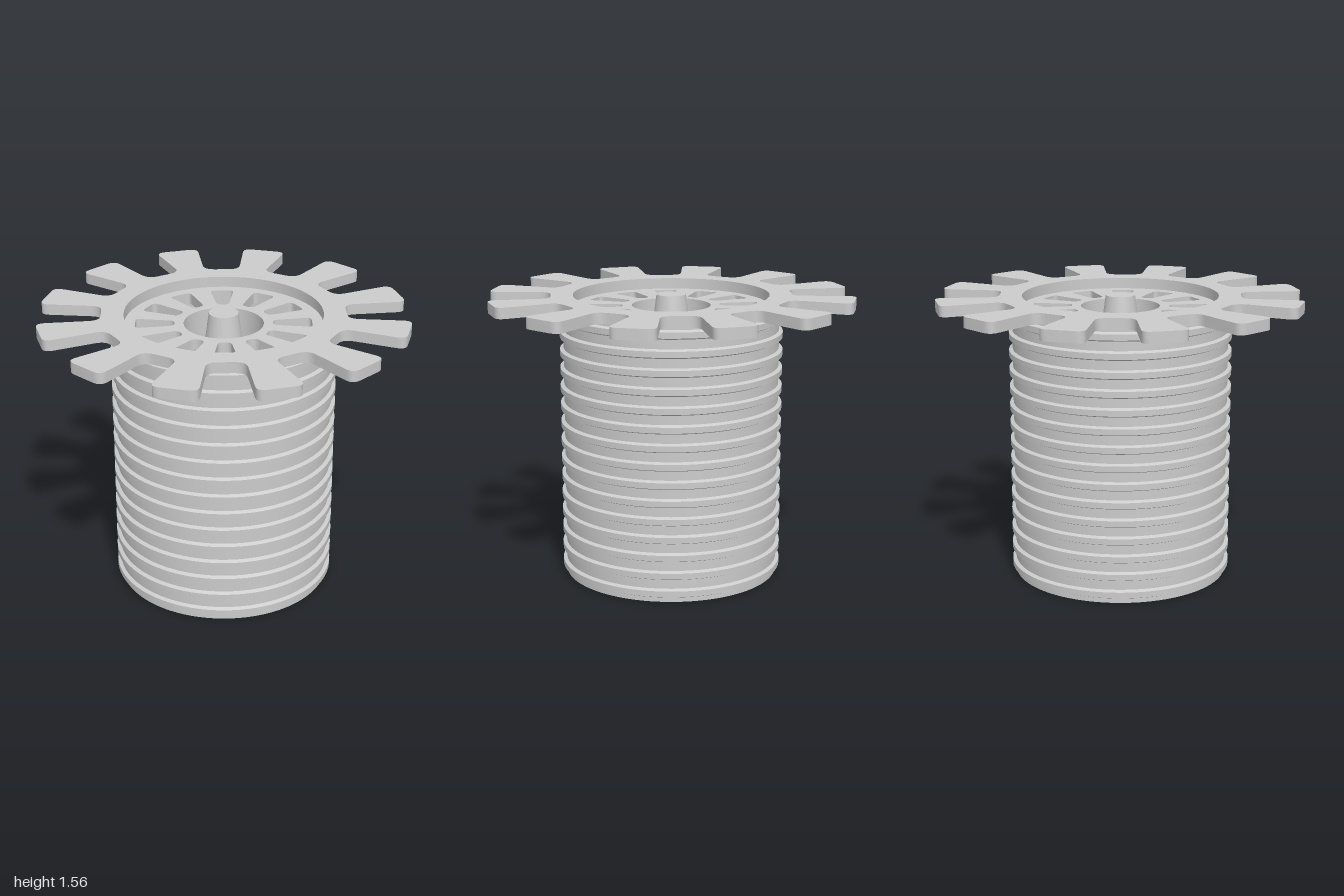
import * as THREE from 'three';
import { toCreasedNormals } from 'three/addons/utils/BufferGeometryUtils.js';

const SEGMENTS = 96;
const TEETH = 12;
const material = new THREE.MeshStandardMaterial({ color: 0xcccccc });

function addMesh(group, name, geometry) {
  const mesh = new THREE.Mesh(toCreasedNormals(geometry, 0.45), material);
  mesh.name = name;
  group.add(mesh);
  return mesh;
}

const vec = (x, y) => new THREE.Vector2(x, y);

function circle(radius) {
  return Array.from({ length: SEGMENTS }, (_, i) => {
    const a = (i / SEGMENTS) * Math.PI * 2;
    return vec(radius * Math.cos(a), radius * Math.sin(a));
  });
}

// Replaces each corner of a closed polygon [point, radius] with a small curve
function roundCorners(corners, steps = 7) {
  const out = [];
  const n = corners.length;
  corners.forEach(([p, r], i) => {
    const prev = corners[(i + n - 1) % n][0];
    const next = corners[(i + 1) % n][0];
    const a = p.clone().add(prev.clone().sub(p).setLength(r));
    const b = p.clone().add(next.clone().sub(p).setLength(r));
    out.push(...new THREE.QuadraticBezierCurve(a, p, b).getPoints(steps));
  });
  return out;
}

// Horizontal plate between two heights
function plate(outline, holes, bottom, top) {
  const shape = new THREE.Shape(outline);
  shape.holes = holes.map((h) => new THREE.Path(h));
  return new THREE.ExtrudeGeometry(shape, { depth: top - bottom, bevelEnabled: false })
    .rotateX(-Math.PI / 2)
    .translate(0, bottom, 0);
}

function lathe(points) {
  return new THREE.LatheGeometry(points.map(([r, y]) => vec(r, y)), SEGMENTS);
}

export function createModel() {
  const model = new THREE.Group();
  model.name = 'ribbedSleeve';

  // Hollow sleeve with evenly spaced chamfered ribs
  const profile = [[0.535, 0], [0.59, 0]];
  for (let i = 0; i < 15; i++) {
    const y = 0.05 + i * 0.1;
    profile.push([0.59, y - 0.025], [0.61, y - 0.016], [0.61, y + 0.016], [0.59, y + 0.025]);
  }
  profile.push([0.59, 1.5], [0.535, 1.5], [0.535, 0]);
  addMesh(model, 'ribbedBody', lathe(profile));

  // Toothed flange with flared, rounded teeth
  const corners = [];
  for (let i = 0; i < TEETH; i++) {
    const a = (i / TEETH) * Math.PI * 2;
    const tooth = [[0.66, -0.073, 0.06], [1, -0.125, 0.055], [1, 0.125, 0.055], [0.66, 0.073, 0.06]];
    for (const [x, y, r] of tooth) corners.push([vec(x, y).rotateAround(vec(0, 0), a), r]);
  }
  addMesh(model, 'toothedFlange', plate(roundCorners(corners), [circle(0.535)], 1.5, 1.56));

  // Recessed spoked plate: tapered slots between the spokes
  const slots = [];
  for (let i = 0; i < TEETH; i++) {
    const a = ((i + 0.5) / TEETH) * Math.PI * 2;
    const slot = [[0.265, -0.034], [0.475, -0.065], [0.475, 0.065], [0.265, 0.034]];
    slots.push(roundCorners(slot.map(([x, y]) => [vec(x, y).rotateAround(vec(0, 0), a), 0.03])));
  }
  addMesh(model, 'spokedPlate', plate(circle(0.537), [circle(0.215), ...slots], 1.44, 1.5));

  // Hub cup below the plate, with a tapered boss rising from its floor
  addMesh(model, 'hubCup', lathe([
    [0, 1.26], [0.245, 1.26], [0.245, 1.44], [0.215, 1.44], [0.215, 1.3], [0, 1.3],
  ]));
  addMesh(model, 'centreBoss', lathe([[0.115, 1.3], [0.08, 1.56], [0, 1.56]]));

  return model;
}
